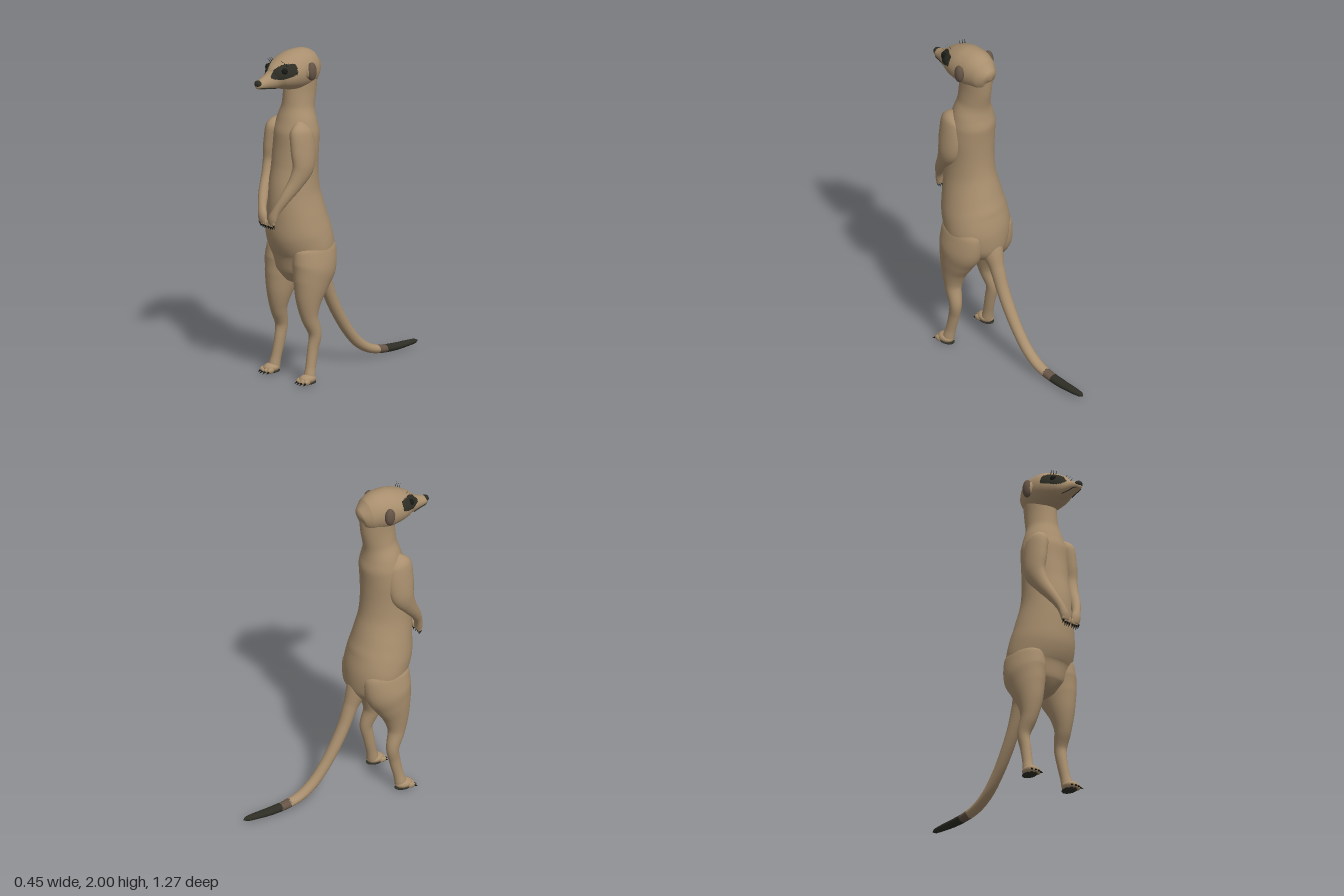
import * as THREE from 'three';

const mat = (name, color) => Object.assign(new THREE.MeshStandardMaterial({ color }), { name });

export function createModel() {
  const fur = mat('tan fur', 0xa98f6e);
  const brown = mat('brown fur', 0x655446);
  const dark = mat('dark fur', 0x2d2d25);
  const black = mat('black', 0x171813);
  const model = new THREE.Group();

  const add = (name, geo, material, parent = model) => {
    const mesh = new THREE.Mesh(geo, material);
    mesh.name = name;
    parent.add(mesh);
    return mesh;
  };

  // Smooth skin over elliptical sections [x, y, z, halfWidth, halfDepth];
  // pick(point) may choose a material index for each face
  function loft(sections, steps, sides, pick = () => 0) {
    const path = new THREE.CatmullRomCurve3(sections.map(s => new THREE.Vector3(s[0], s[1], s[2])));
    const size = new THREE.CatmullRomCurve3(sections.map(s => new THREE.Vector3(s[3], s[4], 0)));
    const pts = [];
    for (let i = 0; i <= steps; i++) {
      const t = i / steps, c = path.getPoint(t), r = size.getPoint(t), T = path.getTangent(t);
      const U = new THREE.Vector3(1, 0, 0).addScaledVector(T, -T.x).normalize();
      const V = T.clone().cross(U);
      for (let j = 0; j < sides; j++) {
        const a = (j / sides) * Math.PI * 2;
        pts.push(c.clone()
          .addScaledVector(U, Math.cos(a) * Math.max(r.x, 0.001))
          .addScaledVector(V, Math.sin(a) * Math.max(r.y, 0.001)));
      }
    }
    const lists = [[], [], []];
    const face = (a, b, c) => {
      const m = pts[a].clone().add(pts[b]).add(pts[c]).divideScalar(3);
      lists[pick(m)].push(a, b, c);
    };
    for (let i = 0; i < steps; i++) {
      for (let j = 0; j < sides; j++) {
        const k = (j + 1) % sides, a = i * sides, b = a + sides;
        face(a + j, a + k, b + k);
        face(a + j, b + k, b + j);
      }
    }
    const geo = new THREE.BufferGeometry().setFromPoints(pts);
    geo.setIndex(lists.flat());
    let start = 0;
    lists.forEach((l, n) => { if (l.length) geo.addGroup(start, l.length, n); start += l.length; });
    geo.computeVertexNormals();
    return geo;
  }

  const ball = (name, p, s, material, parent) => {
    const mesh = add(name, new THREE.SphereGeometry(1, 20, 14), material, parent);
    mesh.position.set(...p);
    mesh.scale.set(...s);
    return mesh;
  };

  // Thin cone from one point to another, for claws and hairs
  const spike = (name, from, to, r, material, parent) => {
    const a = new THREE.Vector3(...from), d = new THREE.Vector3(...to).sub(a);
    const mesh = add(name, new THREE.ConeGeometry(r, d.length(), 8), material, parent);
    mesh.position.copy(a).addScaledVector(d, 0.5);
    mesh.quaternion.setFromUnitVectors(new THREE.Vector3(0, 1, 0), d.normalize());
  };

  // Torso and neck
  add('torso', loft([
    [0, 0.575, 0.25, 0.02, 0.03], [0, 0.61, 0.255, 0.09, 0.12], [0, 0.68, 0.26, 0.165, 0.165],
    [0, 0.8, 0.27, 0.203, 0.18], [0, 0.9, 0.3, 0.195, 0.19], [0, 1.0, 0.318, 0.175, 0.18],
    [0, 1.15, 0.335, 0.145, 0.16], [0, 1.3, 0.328, 0.138, 0.138], [0, 1.42, 0.32, 0.142, 0.132],
    [0, 1.5, 0.315, 0.14, 0.133], [0, 1.58, 0.31, 0.122, 0.115], [0, 1.66, 0.3, 0.092, 0.102],
    [0, 1.76, 0.287, 0.084, 0.108], [0, 1.86, 0.28, 0.085, 0.11], [0, 1.92, 0.28, 0.02, 0.02],
  ], 84, 40), fur);

  // Head with dark patches around the eyes
  const eyePatch = p => (p.z > 0.4 && Math.hypot((Math.abs(p.x) - 0.07) / 0.047, (p.y - 1.905) / 0.042) < 1 ? 1 : 0);
  add('head', loft([
    [0, 1.86, 0.155, 0.005, 0.005], [0, 1.865, 0.168, 0.05, 0.055], [0, 1.87, 0.21, 0.085, 0.1],
    [0, 1.88, 0.28, 0.108, 0.12], [0, 1.88, 0.35, 0.115, 0.118], [0, 1.873, 0.42, 0.11, 0.1],
    [0, 1.863, 0.47, 0.09, 0.08], [0, 1.85, 0.51, 0.06, 0.058], [0, 1.842, 0.56, 0.04, 0.039],
    [0, 1.838, 0.6, 0.03, 0.029], [0, 1.838, 0.622, 0.02, 0.02], [0, 1.84, 0.63, 0.003, 0.003],
  ], 110, 96, eyePatch), [fur, dark]);
  ball('nose', [0, 1.846, 0.614], [0.025, 0.02, 0.021], dark);

  // Tail with a brown band and a dark tip
  add('tail', loft([
    [0, 0.78, 0.21, 0.09, 0.09], [0, 0.68, 0.15, 0.07, 0.068], [0, 0.58, 0.105, 0.045, 0.045],
    [0, 0.45, 0.055, 0.039, 0.037], [0, 0.34, 0, 0.037, 0.035], [0, 0.22, -0.075, 0.034, 0.033],
    [0, 0.12, -0.16, 0.033, 0.032], [0, 0.06, -0.25, 0.033, 0.028], [0, 0.035, -0.34, 0.031, 0.025],
    [0, 0.026, -0.45, 0.03, 0.022], [0, 0.027, -0.55, 0.025, 0.018], [0, 0.028, -0.61, 0.017, 0.014],
    [0, 0.028, -0.635, 0.002, 0.002],
  ], 120, 24, p => (p.z < -0.38 ? 2 : p.z < -0.32 ? 1 : 0)), [fur, brown, dark]);

  for (const s of [1, -1]) {
    const side = s > 0 ? 'left' : 'right';
    const mirror = list => list.map(([x, ...rest]) => [x * s, ...rest]);

    // Hind leg
    const leg = new THREE.Group();
    leg.name = side + 'Leg';
    model.add(leg);
    add('leg', loft(mirror([
      [0.1, 0.9, 0.28, 0.04, 0.05], [0.112, 0.8, 0.275, 0.092, 0.15], [0.12, 0.7, 0.283, 0.102, 0.15],
      [0.125, 0.6, 0.31, 0.09, 0.12], [0.128, 0.5, 0.332, 0.071, 0.083], [0.135, 0.4, 0.333, 0.05, 0.053],
      [0.147, 0.29, 0.3, 0.037, 0.039], [0.145, 0.2, 0.315, 0.03, 0.035], [0.15, 0.1, 0.337, 0.029, 0.032],
      [0.155, 0.04, 0.35, 0.034, 0.036], [0.155, 0.008, 0.355, 0.02, 0.025],
    ]), 64, 28), fur, leg);
    ball('foot', [0.158 * s, 0.032, 0.368], [0.043, 0.028, 0.055], fur, leg);
    ball('sole', [0.158 * s, 0.009, 0.365], [0.038, 0.009, 0.055], dark, leg);
    for (let i = 0; i < 4; i++) {
      const x = 0.126 + i * 0.022, z = 0.402 + (i === 1 || i === 2 ? 0.008 : 0);
      ball('toe', [x * s, 0.022, z], [0.012, 0.017, 0.024], fur, leg);
      spike('toeClaw', [x * s, 0.022, z + 0.012], [(x + (i - 1) * 0.004) * s, 0.005, z + 0.038], 0.009, black, leg);
    }

    // Folded front leg
    const arm = new THREE.Group();
    arm.name = side + 'Arm';
    model.add(arm);
    add('arm', loft(mirror([
      [0.085, 1.58, 0.355, 0.02, 0.03], [0.105, 1.52, 0.37, 0.053, 0.08], [0.12, 1.42, 0.37, 0.053, 0.085],
      [0.13, 1.32, 0.378, 0.048, 0.075], [0.118, 1.23, 0.425, 0.039, 0.05], [0.092, 1.14, 0.487, 0.03, 0.034],
      [0.062, 1.065, 0.527, 0.026, 0.025], [0.045, 1.02, 0.54, 0.031, 0.023],
      [0.038, 0.985, 0.541, 0.026, 0.018], [0.037, 0.972, 0.541, 0.005, 0.005],
    ]), 64, 26), fur, arm);
    for (let i = 0; i < 4; i++) {
      const x = 0.012 + i * 0.016, y = 0.984 + (i === 3 ? 0.01 : 0);
      ball('finger', [x * s, y, 0.545], [0.008, 0.023, 0.011], fur, arm);
      spike('fingerClaw', [x * s, y - 0.012, 0.548], [x * s, y - 0.04, 0.54], 0.007, black, arm);
    }

    // Ear, eye, mouth line and brow hairs
    ball('ear', [0.118 * s, 1.886, 0.3], [0.025, 0.055, 0.032], brown);
    ball('earRoot', [0.108 * s, 1.885, 0.318], [0.022, 0.04, 0.022], fur);
    ball('eye', [0.07 * s, 1.907, 0.47], [0.02, 0.02, 0.02], black);
    const lip = mirror([[0.041, 1.808, 0.513], [0.031, 1.815, 0.56], [0.026, 1.822, 0.6], [0.005, 1.822, 0.622]]);
    add('mouthLine', new THREE.TubeGeometry(
      new THREE.CatmullRomCurve3(lip.map(p => new THREE.Vector3(...p))), 20, 0.003, 6), dark);
    for (let i = 0; i < 3; i++) {
      const x = 0.035 + i * 0.02;
      spike('browHair', [x * s, 1.945 - i * 0.004, 0.455], [(x + 0.012) * s, 1.975 - i * 0.005, 0.475], 0.0025, dark);
    }
  }
  return model;
}
